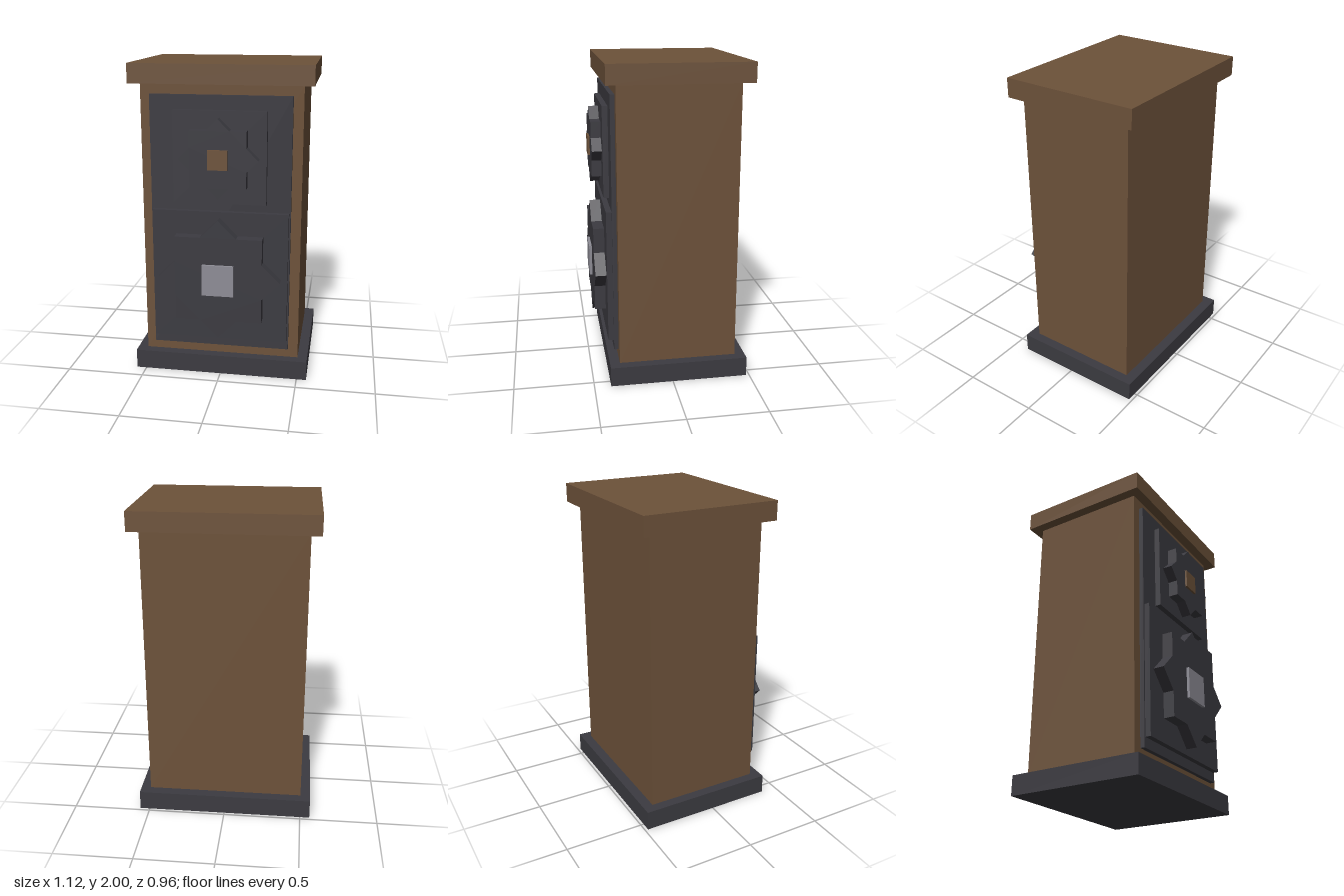
import * as THREE from 'three';

const mat = (name, color) => {
  const m = new THREE.MeshStandardMaterial({ color });
  m.name = name;
  return m;
};

export function createModel() {
  const wood = mat('brown wood', 0x6d523a);
  const iron = mat('dark iron', 0x3c3b41);
  const steel = mat('pale steel', 0x8e8d96);
  const model = new THREE.Group();
  model.name = 'cabinet';

  const add = (name, geometry, material) => {
    const mesh = new THREE.Mesh(geometry, material);
    mesh.name = name;
    model.add(mesh);
  };

  // Box centred on x, given its half width and y and z limits
  const block = (name, material, half, y0, y1, z0, z1) => {
    const g = new THREE.BoxGeometry(half * 2, y1 - y0, z1 - z0);
    add(name, g.translate(0, (y0 + y1) / 2, (z0 + z1) / 2), material);
  };

  // Eight-pointed star: the outline of two overlapping squares
  const star = (name, y, half, z0, z1) => {
    const points = [];
    for (let i = 0; i < 16; i++) {
      const r = i % 2 ? half / Math.cos(Math.PI / 8) : half * Math.SQRT2;
      const a = (i * Math.PI) / 8;
      points.push(new THREE.Vector2(r * Math.cos(a), r * Math.sin(a)));
    }
    const g = new THREE.ExtrudeGeometry(new THREE.Shape(points), { depth: z1 - z0, bevelEnabled: false });
    add(name, g.translate(0, y, z0), iron);
  };

  // Carcass
  block('base', iron, 0.5625, 0, 0.125, -0.48, 0.395);
  block('body', wood, 0.5, 0.125, 1.88, -0.415, 0.332);
  block('lid', wood, 0.5625, 1.88, 2, -0.48, 0.395);

  // Front panel and its two raised plates
  block('frontPanel', iron, 0.4375, 0.19, 1.815, 0.332, 0.36);
  block('upperPlate', iron, 0.289, 1.155, 1.728, 0.36, 0.395);
  block('lowerPlate', iron, 0.428, 0.253, 1.102, 0.36, 0.395);

  // Star ornaments with square centres
  star('upperStar', 1.441, 0.174, 0.395, 0.457);
  star('lowerStar', 0.678, 0.274, 0.395, 0.464);
  block('upperStarCentre', wood, 0.061, 1.38, 1.502, 0.457, 0.47);
  block('lowerStarCentre', steel, 0.1, 0.578, 0.778, 0.464, 0.481);

  return model;
}
